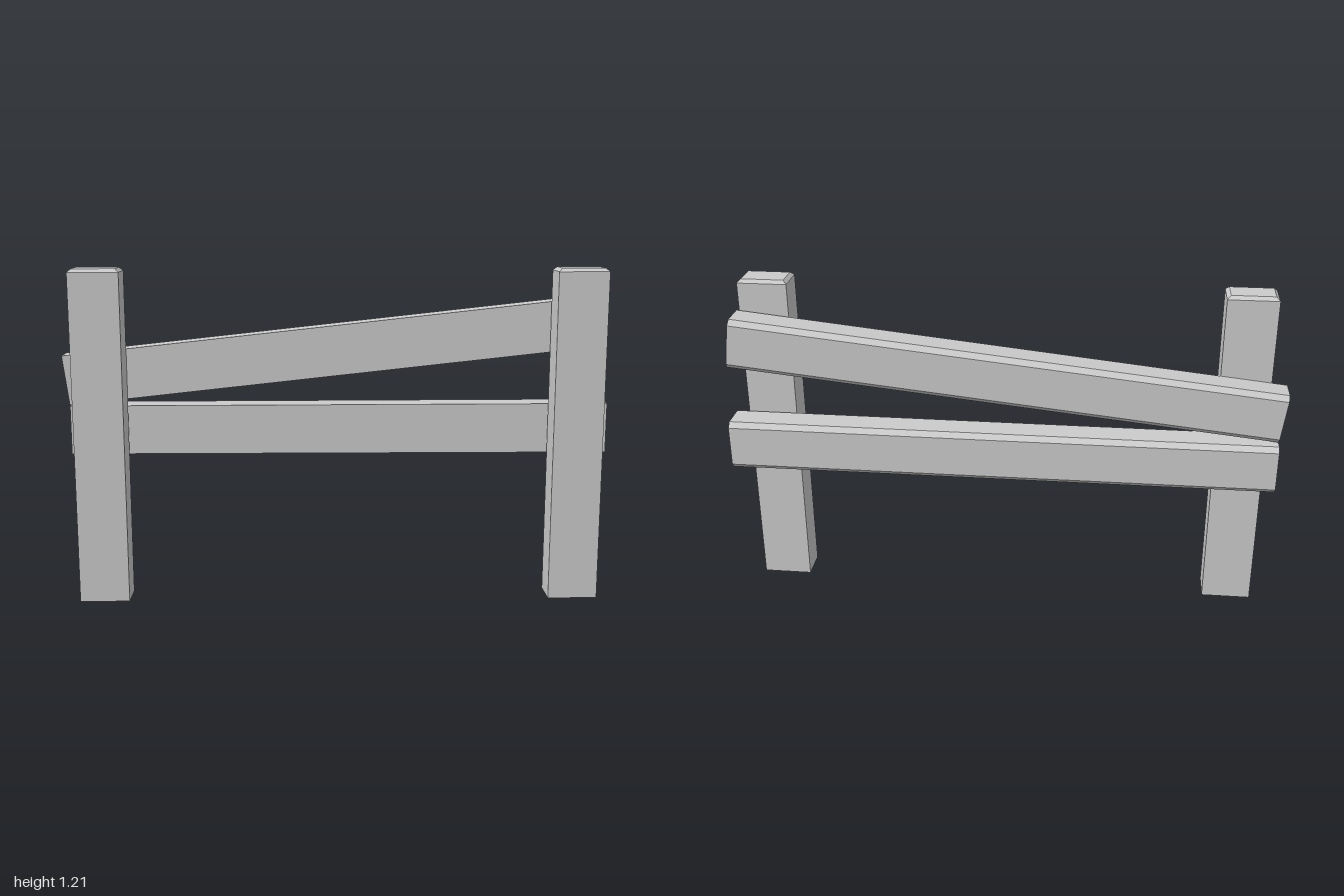
import * as THREE from 'three';

const solid = new THREE.MeshStandardMaterial({ color: 0xcccccc, flatShading: true });
const open = new THREE.MeshStandardMaterial({ color: 0xcccccc, flatShading: true, side: THREE.DoubleSide });

// Flat-faced loft through convex rings that run counter-clockwise about the axis
function loft(rings, capStart) {
  const pos = [];
  const tri = (...pts) => pts.forEach((p) => pos.push(...p));
  const n = rings[0].length;
  for (let r = 0; r < rings.length - 1; r++) {
    for (let i = 0; i < n; i++) {
      const j = (i + 1) % n;
      const [a, b, c, d] = [rings[r][i], rings[r][j], rings[r + 1][j], rings[r + 1][i]];
      tri(a, b, c);
      tri(a, c, d);
    }
  }
  const first = rings[0], last = rings[rings.length - 1];
  for (let i = 1; i < n - 1; i++) {
    tri(last[0], last[i], last[i + 1]);
    if (capStart) tri(first[0], first[i + 1], first[i]);
  }
  const geo = new THREE.BufferGeometry();
  geo.setAttribute('position', new THREE.Float32BufferAttribute(pos, 3));
  geo.computeVertexNormals();
  return geo;
}

// Upright with a bevelled top and an open underside
function post(name, x) {
  const ring = (y, inset) => {
    const w = 0.09 - inset, front = 0.126 - inset, back = 0.008 + inset;
    return [[x - w, y, front], [x + w, y, front], [x + w, y, back], [x - w, y, back]];
  };
  const mesh = new THREE.Mesh(loft([ring(0, 0), ring(1.201, 0), ring(1.213, 0.013)], false), open);
  mesh.name = name;
  return mesh;
}

// End section of a rail: both edges on the back are bevelled
function railEnd([bx, by], [tx, ty], front, back) {
  const at = (t, z) => [bx + (tx - bx) * t, by + (ty - by) * t, z];
  const c = 0.1, inner = back + 0.018;
  return [at(0, front), at(0, inner), at(c, back), at(1 - c, back), at(1, inner), at(1, front)];
}

function rail(name, start, end) {
  const mesh = new THREE.Mesh(loft([start, end], true), solid);
  mesh.name = name;
  return mesh;
}

export function createModel() {
  const fence = new THREE.Group();
  fence.name = 'fence';
  fence.add(
    post('rightPost', -0.856),
    post('leftPost', 0.868),
    // level lower rail
    rail('lowerRail',
      railEnd([-0.98, 0.526], [-0.98, 0.706], -0.007, -0.124),
      railEnd([1, 0.524], [1, 0.708], -0.007, -0.124)),
    // slanting, slightly turned upper rail
    rail('upperRail',
      railEnd([-0.977, 0.712], [-1, 0.893], 0.009, -0.1),
      railEnd([0.986, 0.922], [0.963, 1.105], -0.007, -0.12)),
  );
  return fence;
}
